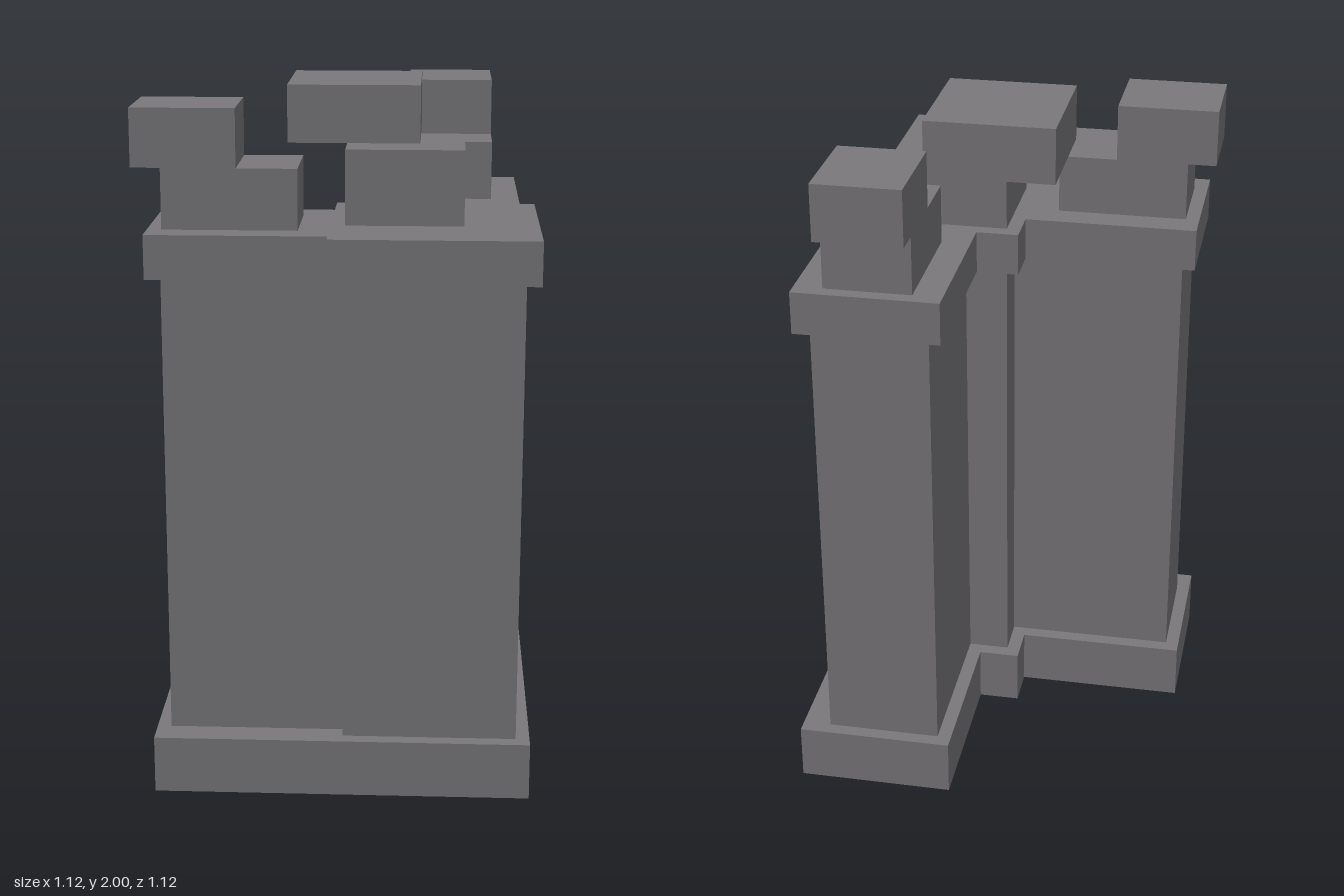
import * as THREE from 'three';

export function createModel() {
  const group = new THREE.Group();
  const stone = new THREE.MeshStandardMaterial({ color: 0x7a787b });
  stone.name = 'grey stone';

  function add(name, geometry) {
    const mesh = new THREE.Mesh(geometry, stone);
    mesh.name = name;
    group.add(mesh);
  }

  // Corner square (inner..outer) with two equal arms, extruded from y0 to y1
  function tier(name, { inner, outer, armIn, armOut, end }, y0, y1) {
    const half = [[inner, armIn], [end, armIn], [end, armOut], [inner, armOut], [inner, outer]];
    if (armOut === outer) half.splice(3, 2); // arm flush with the corner
    const mirrored = half.map(([x, z]) => [z, x]).reverse();
    const outline = [[inner, inner], ...half, [outer, outer], ...mirrored];
    const shape = new THREE.Shape(outline.map(([x, z]) => new THREE.Vector2(x, z)));
    const geometry = new THREE.ExtrudeGeometry(shape, { depth: y1 - y0, bevelEnabled: false });
    add(name, geometry.rotateX(Math.PI / 2).translate(0, y1, 0));
  }

  function block(name, [x0, x1], [y0, y1], [z0, z1]) {
    const geometry = new THREE.BoxGeometry(x1 - x0, y1 - y0, z1 - z0);
    add(name, geometry.translate((x0 + x1) / 2, (y0 + y1) / 2, (z0 + z1) / 2));
  }

  // Base, walls and ledge
  tier('base', { inner: -0.02, outer: 0.56, armIn: 0.102, armOut: 0.56, end: -0.52 }, 0, 0.167);
  tier('walls', { inner: 0.021, outer: 0.52, armIn: 0.143, armOut: 0.477, end: -0.48 }, 0.167, 1.503);
  tier('ledge', { inner: -0.02, outer: 0.56, armIn: 0.102, armOut: 0.517, end: -0.52 }, 1.503, 1.627);

  // Corner battlement with an offset cap
  block('cornerMerlon', [0.021, 0.351], [1.627, 1.838], [0.021, 0.351]);
  block('cornerMerlonCap', [-0.147, 0.226], [1.838, 2], [-0.147, 0.226]);

  // Stepped battlement on each arm
  const width = [0.186, 0.435];
  const steps = [
    ['Merlon', [-0.48, -0.105], [1.627, 1.797]],
    ['MerlonCap', [-0.562, -0.273], [1.797, 1.96]],
  ];
  for (const [name, along, height] of steps) {
    block('right' + name, along, height, width);
    block('back' + name, width, height, along);
  }

  return group;
}
